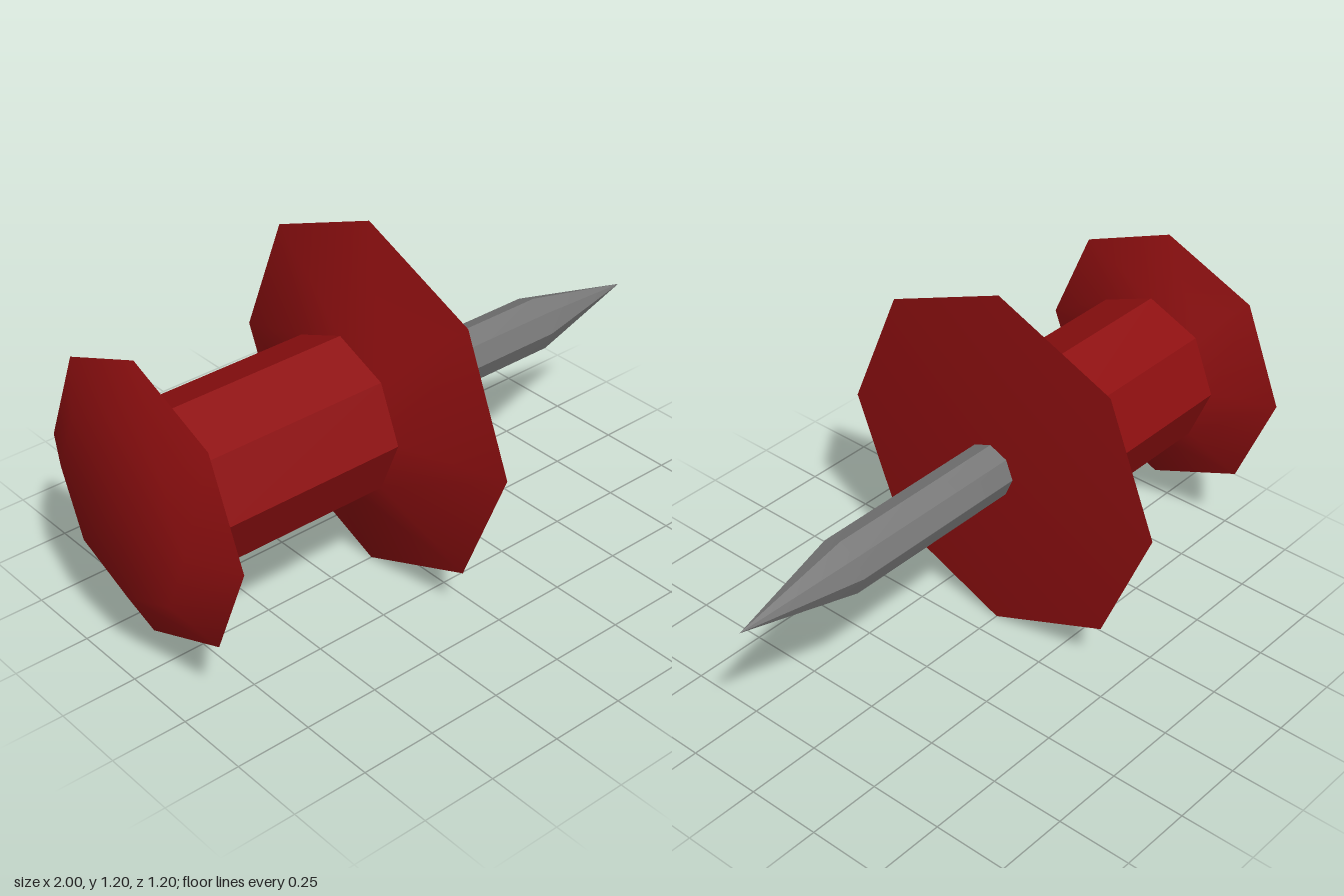
import * as THREE from 'three';
import { toCreasedNormals } from 'three/addons/utils/BufferGeometryUtils.js';

const SIDES = 8;
const AXIS_HEIGHT = 0.6;

// Turns an [x, radius] profile around the x axis, keeping steep edges sharp.
function turned(name, profile, material) {
  const points = profile.map(([x, r]) => new THREE.Vector2(r, x));
  const lathe = new THREE.LatheGeometry(points, SIDES);
  const geometry = toCreasedNormals(lathe, Math.PI / 6);
  geometry.rotateZ(-Math.PI / 2);
  const mesh = new THREE.Mesh(geometry, material);
  mesh.name = name;
  return mesh;
}

export function createModel() {
  const red = new THREE.MeshStandardMaterial({ color: 0x8e0f10 });
  red.name = 'red plastic';
  const steel = new THREE.MeshStandardMaterial({ color: 0x777777 });
  steel.name = 'grey steel';

  const pin = new THREE.Group();
  pin.name = 'pushPin';
  pin.position.y = AXIS_HEIGHT;

  // Handle: bevelled head, straight grip and wide collar
  pin.add(turned('handle', [
    [-1, 0], [-1, 0.3], [-0.92, 0.46], [-0.84, 0.26],
    [-0.2, 0.26], [-0.085, 0.6], [-0.045, 0],
  ], red));

  // Needle: straight shaft and long point
  pin.add(turned('needle', [
    [-0.06, 0], [-0.06, 0.09], [0.6, 0.09], [1, 0],
  ], steel));

  const model = new THREE.Group();
  model.name = 'model';
  model.add(pin);
  return model;
}
